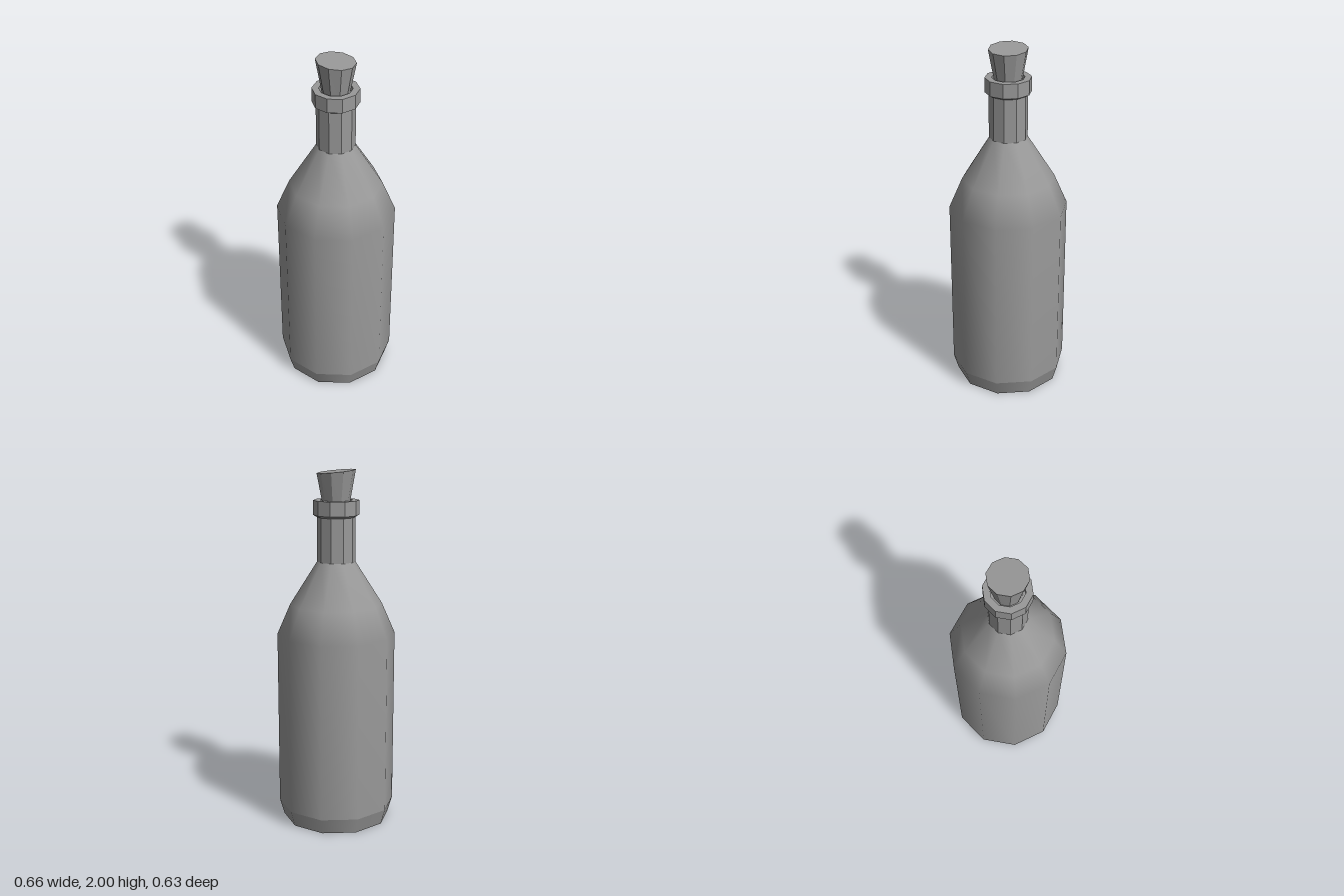
import * as THREE from 'three';

const SIDES = 10;
const smooth = new THREE.MeshStandardMaterial({ color: 0x999999 });
const faceted = new THREE.MeshStandardMaterial({ color: 0x999999, flatShading: true });

// Ten-sided turned part from [radius, height] pairs, with a corner on the x axis
function turned(name, profile, material) {
  const points = profile.map(([r, y]) => new THREE.Vector2(r, y));
  const geometry = new THREE.LatheGeometry(points, SIDES, Math.PI / 2);
  geometry.normalizeNormals();
  const mesh = new THREE.Mesh(geometry, material);
  mesh.name = name;
  return mesh;
}

export function createModel() {
  const bottle = new THREE.Group();
  bottle.name = 'bottle';

  // Flat underside, bevelled foot and smooth body with shoulder
  bottle.add(turned('base', [[0, 0], [0.305, 0]], faceted));
  bottle.add(turned('foot', [[0.305, 0], [0.331, 0.09]], smooth));
  bottle.add(turned('body', [[0.331, 0.09], [0.331, 1.09], [0.257, 1.26], [0.105, 1.5]], smooth));

  // Faceted neck and lip
  bottle.add(turned('neck', [[0.106, 1.498], [0.106, 1.75]], faceted));
  bottle.add(turned('lip', [[0.106, 1.743], [0.127, 1.755], [0.127, 1.835], [0.09, 1.835], [0.09, 1.8], [0, 1.8]], faceted));

  // Tapered stopper whose top slopes down towards +x
  const stopper = turned('stopper', [[0.072, 1.8], [0.107, 1.99], [0, 1.99]], faceted);
  const pos = stopper.geometry.attributes.position;
  for (let i = 0; i < pos.count; i++) {
    if (pos.getY(i) > 1.9) pos.setY(i, 1.99 - 0.094 * pos.getX(i));
  }
  bottle.add(stopper);

  return bottle;
}
